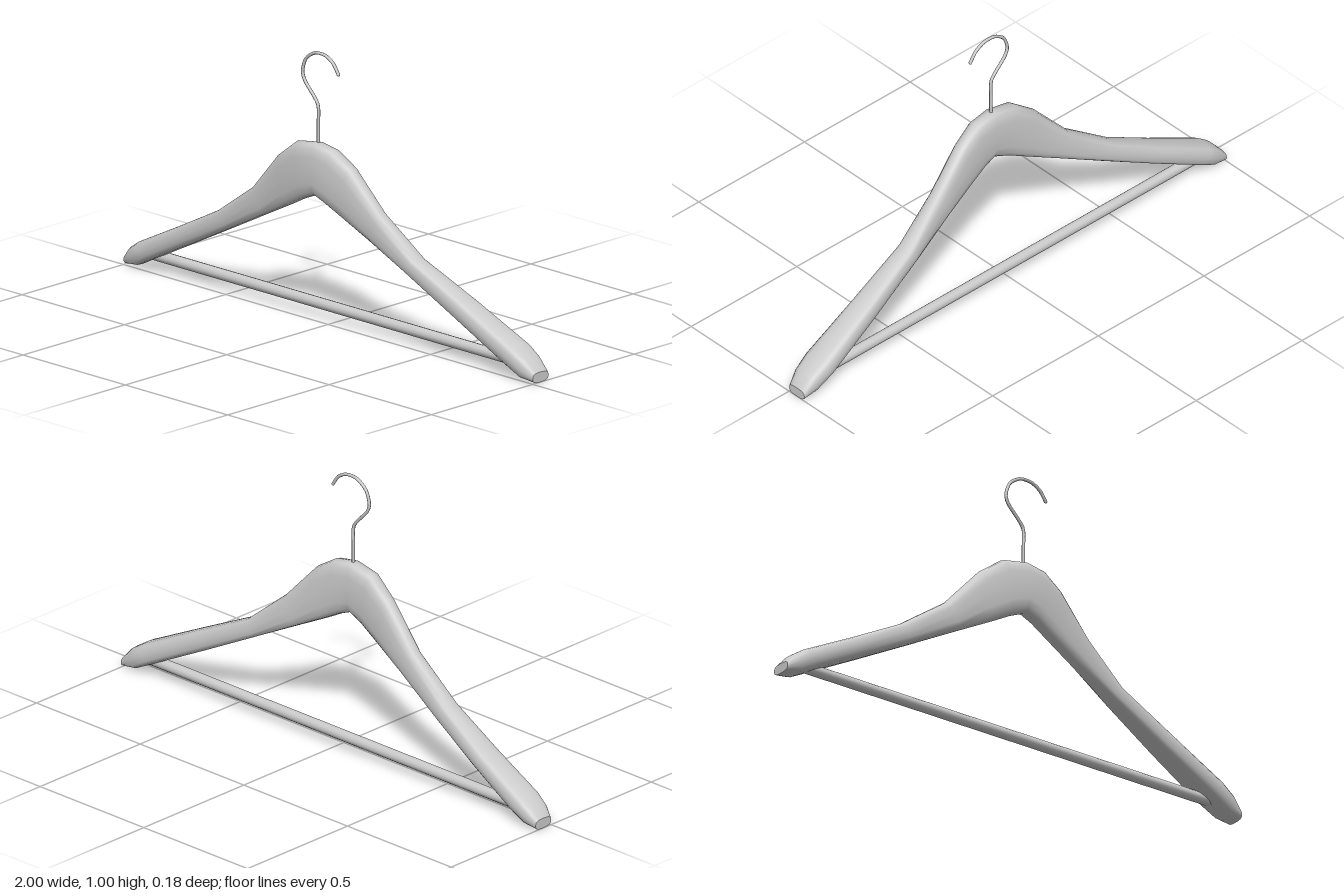
import * as THREE from 'three';

const SIDES = 16;

// Stations along the body: top x, top y, bottom x, bottom y, front z, back z
const STATIONS = [
  [-1, 0.045, -1, 0.008, 0.0, -0.078],
  [-0.97, 0.08, -0.94, 0.016, 0.018, -0.088],
  [-0.93, 0.107, -0.87, 0.052, 0.027, -0.092],
  [-0.72, 0.212, -0.68, 0.148, 0.032, -0.072],
  [-0.52, 0.315, -0.47, 0.255, 0.04, -0.042],
  [-0.33, 0.447, -0.27, 0.357, 0.055, -0.012],
  [-0.19, 0.6, -0.14, 0.423, 0.073, 0.0],
  [-0.1, 0.666, -0.06, 0.465, 0.087, 0.006],
  [0, 0.683, 0, 0.49, 0.09, 0.01],
  [0.08, 0.67, 0.05, 0.47, 0.088, 0.007],
  [0.16, 0.62, 0.12, 0.433, 0.076, 0.002],
  [0.29, 0.48, 0.235, 0.375, 0.06, -0.008],
  [0.45, 0.345, 0.41, 0.286, 0.044, -0.033],
  [0.68, 0.235, 0.64, 0.168, 0.034, -0.066],
  [0.91, 0.122, 0.86, 0.057, 0.027, -0.092],
  [0.96, 0.09, 0.94, 0.016, 0.018, -0.088],
  [1, 0.045, 1, 0.008, 0.0, -0.078],
];

// Rounded-rectangle ring between the top and bottom of a station
function ring([xt, yt, xb, yb, zf, zb]) {
  const pts = [];
  const round = (v) => Math.sign(v) * Math.abs(v) ** (2 / 2.9);
  for (let j = 0; j < SIDES; j++) {
    const a = (j / SIDES) * Math.PI * 2;
    const u = round(Math.cos(a)), w = round(Math.sin(a));
    pts.push([
      (xt + xb) / 2 + (u * (xt - xb)) / 2,
      (yt + yb) / 2 + (u * (yt - yb)) / 2,
      (zf + zb) / 2 + (w * (zf - zb)) / 2,
    ]);
  }
  return pts;
}

function bodyGeometry() {
  const rings = STATIONS.map(ring);
  const pos = rings.flat(2);
  const index = [];
  // Skin between neighbouring rings
  for (let i = 0; i < rings.length - 1; i++) {
    for (let j = 0; j < SIDES; j++) {
      const k = (j + 1) % SIDES;
      const a = i * SIDES + j, c = i * SIDES + k;
      const b = a + SIDES, d = c + SIDES;
      index.push(a, c, b, b, c, d);
    }
  }
  // Flat end caps with their own corners
  for (const last of [false, true]) {
    const r = rings[last ? rings.length - 1 : 0];
    const start = pos.length / 3;
    pos.push(...r.flat());
    for (let j = 1; j < SIDES - 1; j++) {
      if (last) index.push(start, start + j, start + j + 1);
      else index.push(start, start + j + 1, start + j);
    }
  }
  const geo = new THREE.BufferGeometry();
  geo.setAttribute('position', new THREE.Float32BufferAttribute(pos, 3));
  geo.setIndex(index);
  geo.computeVertexNormals();
  return geo;
}

export function createModel() {
  const group = new THREE.Group();
  group.name = 'coatHanger';
  const material = new THREE.MeshStandardMaterial({ color: 0xcccccc });
  const add = (name, geometry, parent = group) => {
    const mesh = new THREE.Mesh(geometry, material);
    mesh.name = name;
    parent.add(mesh);
    return mesh;
  };

  // Shoulder body
  add('shoulders', bodyGeometry());

  // Trouser bar
  const bar = add('trouserBar', new THREE.CylinderGeometry(0.02, 0.02, 1.8, 12));
  bar.rotation.z = Math.PI / 2;
  bar.position.set(0, 0.06, -0.04);

  // Wire hook
  const z = 0.048, wire = 0.006;
  const path = new THREE.CatmullRomCurve3(
    [
      [0, 0.64], [0, 0.74], [0, 0.81], [-0.018, 0.84], [-0.065, 0.89],
      [-0.077, 0.925], [-0.06, 0.973], [-0.015, 1.003], [0.035, 1.003],
      [0.073, 0.982], [0.098, 0.947],
    ].map(([x, y]) => new THREE.Vector3(x, y, z)),
    false, 'catmullrom', 0.4,
  );
  const hook = new THREE.Group();
  hook.name = 'hook';
  group.add(hook);
  add('hookWire', new THREE.TubeGeometry(path, 40, wire, 8), hook);
  const tip = add('hookTip', new THREE.SphereGeometry(wire, 8, 6), hook);
  tip.position.copy(path.getPoint(1));

  return group;
}
